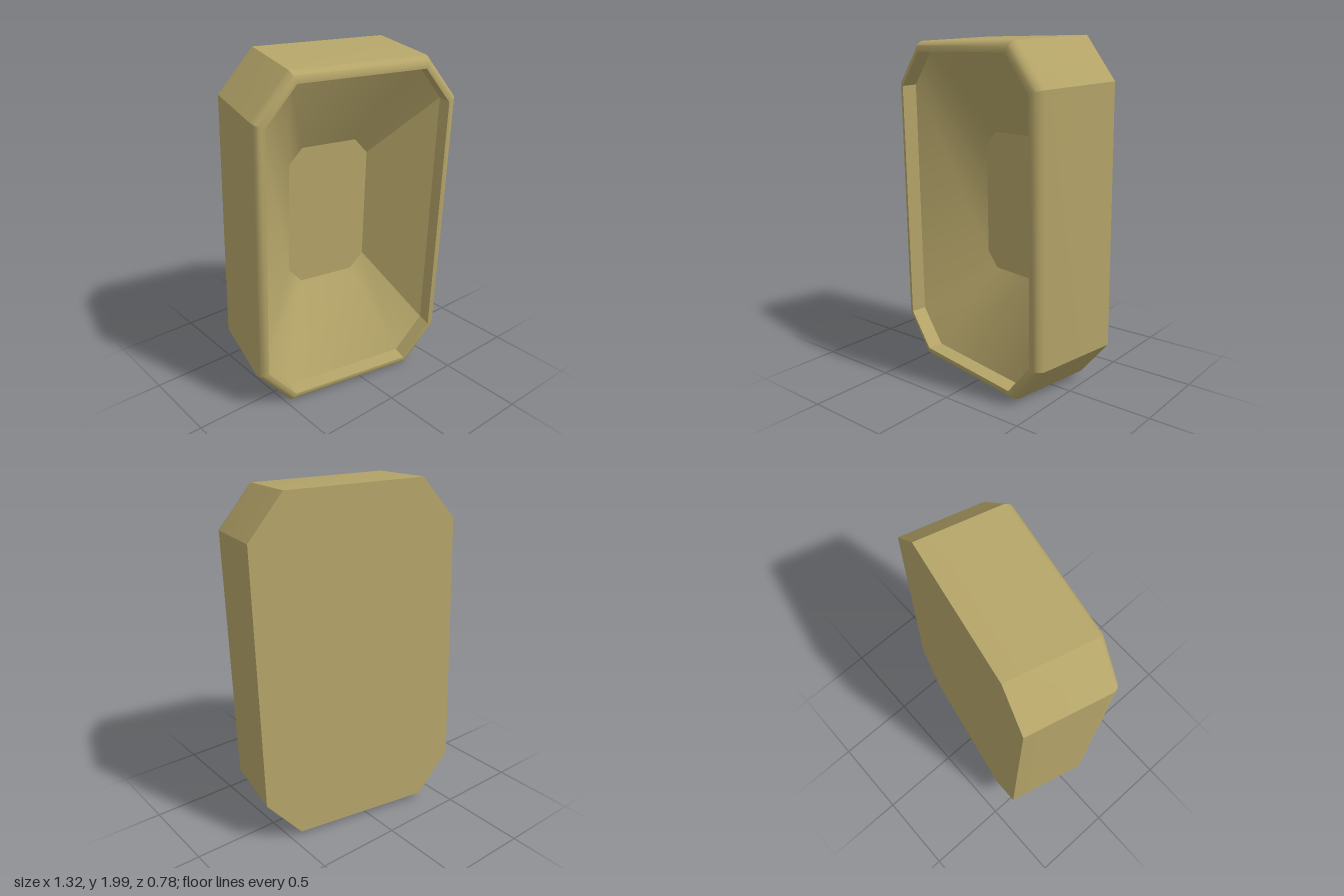
import * as THREE from 'three';
import { toCreasedNormals } from 'three/addons/utils/BufferGeometryUtils.js';

// Slightly skewed axes of the tilted tray: width, height and back-to-front depth
const WIDTH = new THREE.Vector3(0.983, -0.008, 0.185);
const HEIGHT = new THREE.Vector3(0.0097, 1, 0.031);
const DEPTH = new THREE.Vector3(-0.125, -0.035, 0.52);
const BACK = new THREE.Vector3(0.052, 1.02, -0.255);

const HALF_W = 0.6085, HALF_H = 0.977;
const FLAT_W = 0.407, FLAT_H = 0.74; // half lengths of the straight edges

// Chamfered rectangle, counter-clockwise from the front, at depth t (0 back, 1 front)
function ring(w, h, fw, fh, t) {
  return [[w, -fh], [w, fh], [fw, h], [-fw, h], [-w, fh], [-w, -fh], [-fw, -h], [fw, -h]]
    .map(([x, y]) => BACK.clone()
      .addScaledVector(WIDTH, x)
      .addScaledVector(HEIGHT, y)
      .addScaledVector(DEPTH, t));
}

// Outline moved evenly inwards
const inset = (d, t) =>
  ring(HALF_W - d, HALF_H - d, FLAT_W - 0.47 * d, FLAT_H - 0.364 * d, t);

// Joins successive rings; optionally closes the first or last one
function skin(rings, capFirst, capLast) {
  const points = [];
  const add = (...corners) => corners.forEach((p) => points.push(p.x, p.y, p.z));
  for (let k = 0; k < rings.length - 1; k++) {
    const a = rings[k], b = rings[k + 1];
    for (let i = 0; i < 8; i++) {
      const j = (i + 1) % 8;
      add(a[i], a[j], b[j], a[i], b[j], b[i]);
    }
  }
  const first = rings[0], last = rings[rings.length - 1];
  for (let i = 1; i < 7; i++) {
    if (capFirst) add(first[0], first[i + 1], first[i]);
    if (capLast) add(last[0], last[i], last[i + 1]);
  }
  const geometry = new THREE.BufferGeometry();
  geometry.setAttribute('position', new THREE.Float32BufferAttribute(points, 3));
  return toCreasedNormals(geometry, 0.5);
}

export function createModel() {
  const group = new THREE.Group();
  group.name = 'tray';
  const material = new THREE.MeshStandardMaterial({ color: 0xb5a569 });

  // Outer walls, closed back and rounded front rim
  const outer = [inset(0, 0)];
  const steps = 5, radius = 0.05, roundDepth = 0.11;
  for (let i = 0; i <= steps; i++) {
    const a = (i / steps) * Math.PI / 2;
    outer.push(inset(radius * (1 - Math.cos(a)), 1 - roundDepth * (1 - Math.sin(a))));
  }
  outer.push(inset(0.058, 1));
  const shell = new THREE.Mesh(skin(outer, true, false), material);
  shell.name = 'shell';

  // Straight lip, sloping sides and small raised floor of the hollow
  const hollow = [
    inset(0.058, 1),
    inset(0.058, 0.83),
    ring(0.257, 0.4275, 0.173, 0.335, 0.28),
  ];
  const basin = new THREE.Mesh(skin(hollow, false, true), material);
  basin.name = 'basin';

  group.add(shell, basin);
  return group;
}
